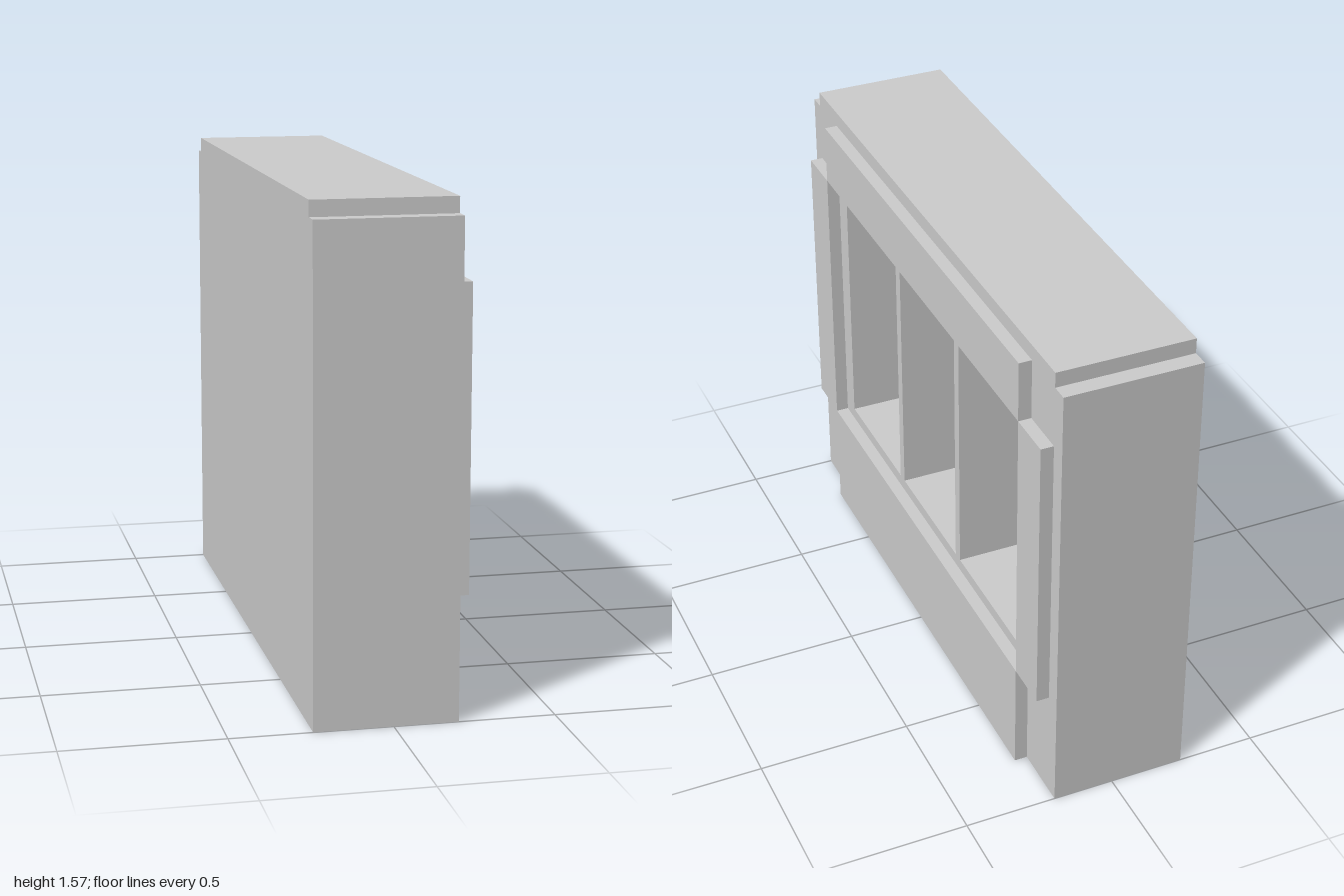
import * as THREE from 'three';

const FACE = 0.2, RECESS = -0.08, BACK = -0.245;

// window openings as [zMin, zMax]
const WINDOWS = [[0.27, 0.715], [-0.215, 0.235], [-0.72, -0.25]];
const WINDOW_Y = [0.415, 1.28];

// column tiers as [yBottom, yTop, halfBottom, halfTop]
const TIERS = [
  [0.43, 0.47, 0.069, 0.069],
  [0.47, 0.658, 0.083, 0.083],
  [0.658, 0.968, 0.095, 0.095],
  [0.968, 1.033, 0.115, 0.115],
  [1.033, 1.052, 0.102, 0.102],
  [1.052, 1.07, 0.108, 0.108],
  [1.07, 1.097, 0.108, 0.133],
  [1.097, 1.196, 0.133, 0.133],
  [1.196, 1.21, 0.122, 0.122],
  [1.21, 1.228, 0.108, 0.108],
  [1.228, 1.268, 0.067, 0.067],
];

export function createModel() {
  const group = new THREE.Group();
  const material = new THREE.MeshStandardMaterial({ color: 0xcccccc, flatShading: true });

  const add = (name, geometry, parent = group) => {
    const mesh = new THREE.Mesh(geometry, material);
    mesh.name = name;
    parent.add(mesh);
    return mesh;
  };

  // wall outline with a small notch at both top corners (shape x is -z)
  const outline = () => new THREE.Shape([
    [-1, 0], [1, 0], [1, 1.52], [0.945, 1.52], [0.945, 1.57],
    [-0.945, 1.57], [-0.945, 1.52], [-1, 1.52],
  ].map(([x, y]) => new THREE.Vector2(x, y)));

  const slab = (name, shape, x0, x1) => {
    const geometry = new THREE.ExtrudeGeometry(shape, { depth: x1 - x0, bevelEnabled: false });
    geometry.rotateY(Math.PI / 2).translate(x0, 0, 0);
    return add(name, geometry);
  };

  // solid rear layer and front layer pierced by the windows
  slab('wallBack', outline(), BACK, RECESS);
  const front = outline();
  const [y0, y1] = WINDOW_Y;
  for (const [z0, z1] of WINDOWS) {
    front.holes.push(new THREE.Path([
      [-z1, y0], [-z1, y1], [-z0, y1], [-z0, y0],
    ].map(([x, y]) => new THREE.Vector2(x, y))));
  }
  slab('wallFront', front, RECESS, FACE);

  // raised trim boards around the windows
  const board = (name, z0, z1, b, t) => add(name,
    new THREE.BoxGeometry(0.042, t - b, z1 - z0).translate(FACE + 0.021, (b + t) / 2, (z0 + z1) / 2));
  board('trimBottom', -0.79, 0.785, 0, 0.375);
  board('trimTop', -0.79, 0.785, 1.32, 1.52);
  board('trimFrontSide', 0.785, 0.945, 0.375, 1.32);
  board('trimRearSide', -0.945, -0.79, 0.375, 1.32);

  // stepped square columns half set into the window backs
  for (const z of [0.487, 0.01, -0.451]) {
    const column = new THREE.Group();
    column.name = 'column';
    column.position.set(-0.09, 0, z);
    for (const [b, t, hb, ht] of TIERS) {
      const geometry = new THREE.CylinderGeometry(
        ht * Math.SQRT2, hb * Math.SQRT2, t - b, 4, 1, false, Math.PI / 4);
      add('columnTier', geometry.translate(0, (b + t) / 2, 0), column);
    }
    group.add(column);
  }
  return group;
}
